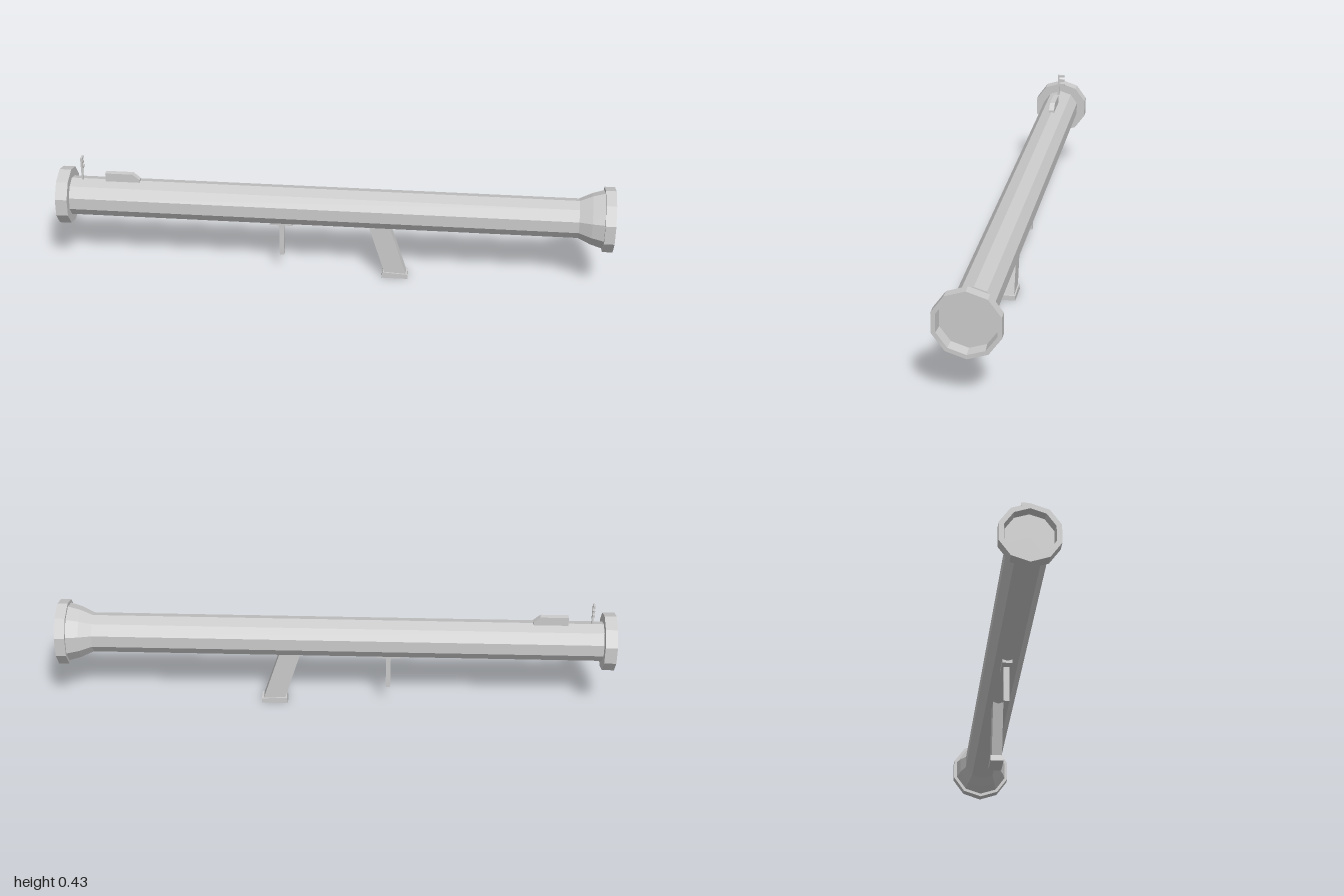
import * as THREE from 'three';

const AXIS_Y = 0.279;

export function createModel() {
  const model = new THREE.Group();
  const mat = new THREE.MeshStandardMaterial({ color: 0xcccccc, flatShading: true });

  const add = (name, geometry, x = 0, y = 0, z = 0, parent = model) => {
    const mesh = new THREE.Mesh(geometry, mat);
    mesh.name = name;
    mesh.position.set(x, y, z);
    parent.add(mesh);
    return mesh;
  };

  // Box given by its minimum and maximum corners
  const box = (name, [x0, y0, z0], [x1, y1, z1], parent) =>
    add(name, new THREE.BoxGeometry(x1 - x0, y1 - y0, z1 - z0),
      (x0 + x1) / 2, (y0 + y1) / 2, (z0 + z1) / 2, parent);

  // Side outline in x/y, extruded symmetrically about z = 0
  const slab = (name, points, width) => {
    const shape = new THREE.Shape(points.map(([x, y]) => new THREE.Vector2(x, y)));
    const geo = new THREE.ExtrudeGeometry(shape, { depth: width, bevelEnabled: false });
    return add(name, geo, 0, 0, -width / 2);
  };

  // Ten-sided tube with recessed collars and a flared end: [radius, x]
  const profile = [
    [0, -0.97], [0.082, -0.97], [0.086, -1], [0.104, -1], [0.104, -0.957], [0.071, -0.957],
    [0.071, 0.875], [0.092, 0.92], [0.105, 0.963], [0.117, 0.963], [0.117, 1],
    [0.102, 1], [0.098, 0.96], [0, 0.96],
  ].map(([r, x]) => new THREE.Vector2(r, x));
  const tube = new THREE.LatheGeometry(profile, 10, Math.PI / 2);
  tube.rotateZ(-Math.PI / 2);
  add('tube', tube, 0, AXIS_Y, 0);

  // Raked grip with its base cap
  slab('grip', [[0.188, 0.015], [0.266, 0.015], [0.2, 0.222], [0.125, 0.222]], 0.038);
  slab('gripBase', [[0.176, 0], [0.272, 0], [0.272, 0.018], [0.187, 0.023], [0.18, 0.023]], 0.048);

  // Trigger post on its mounting plate
  box('triggerPlate', [-0.235, 0.2, -0.018], [-0.15, 0.218, 0.018]);
  box('triggerPost', [-0.2, 0.07, -0.01], [-0.183, 0.203, 0.01]);

  // Sight block with a sloped end
  slab('sightBlock', [[-0.83, 0.342], [-0.705, 0.342], [-0.705, 0.357], [-0.73, 0.379], [-0.83, 0.379]], 0.02);

  // Ladder sight: a thin post with prongs to one side
  const sight = new THREE.Group();
  sight.name = 'ladderSight';
  model.add(sight);
  box('sightPost', [-0.919, 0.343, 0], [-0.912, 0.434, 0.006], sight);
  for (let i = 0; i < 3; i++) {
    const y = 0.425 - i * 0.0185;
    box('sightProng' + (i + 1), [-0.919, y, -0.02], [-0.912, y + 0.009, 0], sight);
  }

  return model;
}
